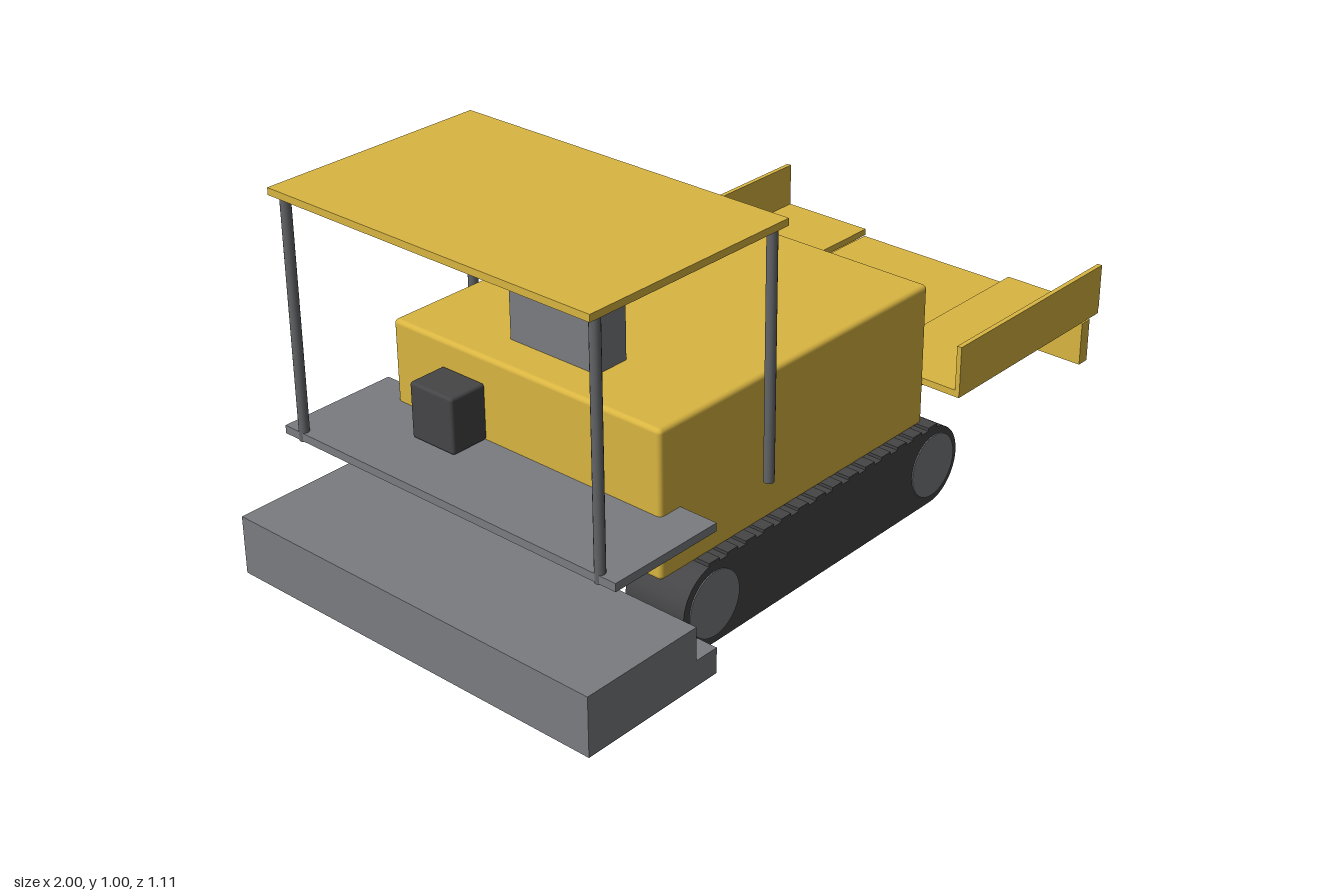
import * as THREE from 'three';
import { RoundedBoxGeometry } from 'three/addons/geometries/RoundedBoxGeometry.js';

const material = (name, color) => {
  const m = new THREE.MeshStandardMaterial({ color });
  m.name = name;
  return m;
};

export function createModel() {
  const yellow = material('yellow paint', 0xd9b541);
  const grey = material('grey steel', 0x7a7c80);
  const post = material('dark steel', 0x626467);
  const rubber = material('black rubber', 0x454547);

  const model = new THREE.Group();
  model.name = 'paver';

  // Box given by its limits on each axis; a radius rounds the edges
  function box(name, mat, [x0, x1], [y0, y1], [z0, z1], radius = 0, parent = model) {
    const size = [x1 - x0, y1 - y0, z1 - z0];
    const geometry = radius
      ? new RoundedBoxGeometry(...size, 3, radius)
      : new THREE.BoxGeometry(...size);
    const mesh = new THREE.Mesh(geometry, mat);
    mesh.name = name;
    mesh.position.set((x0 + x1) / 2, (y0 + y1) / 2, (z0 + z1) / 2);
    parent.add(mesh);
    return mesh;
  }

  // Main body with exhaust box
  box('body', yellow, [-0.617, 0.353], [0.212, 0.592], [-0.418, 0.418], 0.012);
  box('exhaustBox', grey, [-0.514, -0.412], [0.585, 0.835], [-0.138, 0.138], 0.008);

  // Operator platform, console and canopy
  box('platform', grey, [-0.875, -0.552], [0.356, 0.377], [-0.523, 0.523]);
  box('console', rubber, [-0.722, -0.615], [0.377, 0.523], [-0.256, -0.118], 0.008);
  box('canopy', yellow, [-0.897, -0.275], [0.977, 0.995], [-0.487, 0.487]);
  const postGeometry = new THREE.CylinderGeometry(0.013, 0.013, 0.625, 16);
  for (const x of [-0.864, -0.308]) {
    for (const z of [-0.469, 0.469]) {
      const mesh = new THREE.Mesh(postGeometry, post);
      mesh.name = 'canopyPost';
      mesh.position.set(x, 0.6665, z);
      model.add(mesh);
    }
  }

  // Screed with its lower step
  box('screed', grey, [-1, -0.656], [0.02, 0.174], [-0.555, 0.555]);
  box('screedStep', grey, [-0.656, -0.588], [0.02, 0.087], [-0.555, 0.555]);

  // Hopper: centre trough, folding wings and push plate
  box('hopperTrough', yellow, [0.345, 0.98], [0.16, 0.313], [-0.243, 0.243]);
  box('pushPlate', yellow, [0.964, 1], [0.16, 0.28], [-0.487, 0.487]);
  for (const s of [-1, 1]) {
    const span = (a, b) => (s > 0 ? [a, b] : [-b, -a]);
    box('hopperWing', yellow, [0.355, 0.98], [0.317, 0.335], span(0.24, 0.522));
    box('hopperSide', yellow, [0.355, 0.98], [0.335, 0.455], span(0.51, 0.523));
  }

  // Crawler tracks: stadium outline, rollers and grip bars
  const r = 0.105, rear = -0.478, front = 0.35, width = 0.175;
  const outline = new THREE.Shape();
  outline.moveTo(rear, 0);
  outline.lineTo(front, 0);
  outline.absarc(front, r, r, -Math.PI / 2, Math.PI / 2, false);
  outline.lineTo(rear, 2 * r);
  outline.absarc(rear, r, r, Math.PI / 2, Math.PI * 1.5, false);
  const belt = new THREE.ExtrudeGeometry(outline, {
    depth: width, bevelEnabled: false, curveSegments: 24,
  });
  belt.translate(0, 0, -width / 2);
  const roller = new THREE.CylinderGeometry(0.085, 0.085, width + 0.006, 40);
  roller.rotateX(Math.PI / 2);
  for (const s of [-1, 1]) {
    const track = new THREE.Group();
    track.name = 'track';
    track.position.z = s * 0.366;
    const beltMesh = new THREE.Mesh(belt, rubber);
    beltMesh.name = 'trackBelt';
    track.add(beltMesh);
    for (const x of [rear, front + 0.005]) {
      const mesh = new THREE.Mesh(roller, grey);
      mesh.name = 'trackRoller';
      mesh.position.set(x, r, 0);
      track.add(mesh);
    }
    for (let i = 0; i < 14; i++) {
      const x = rear + ((front - rear) * i) / 13;
      box('gripBar', rubber, [x - 0.018, x + 0.018], [0.2, 0.218], [-width / 2, width / 2], 0, track);
    }
    model.add(track);
  }

  return model;
}
